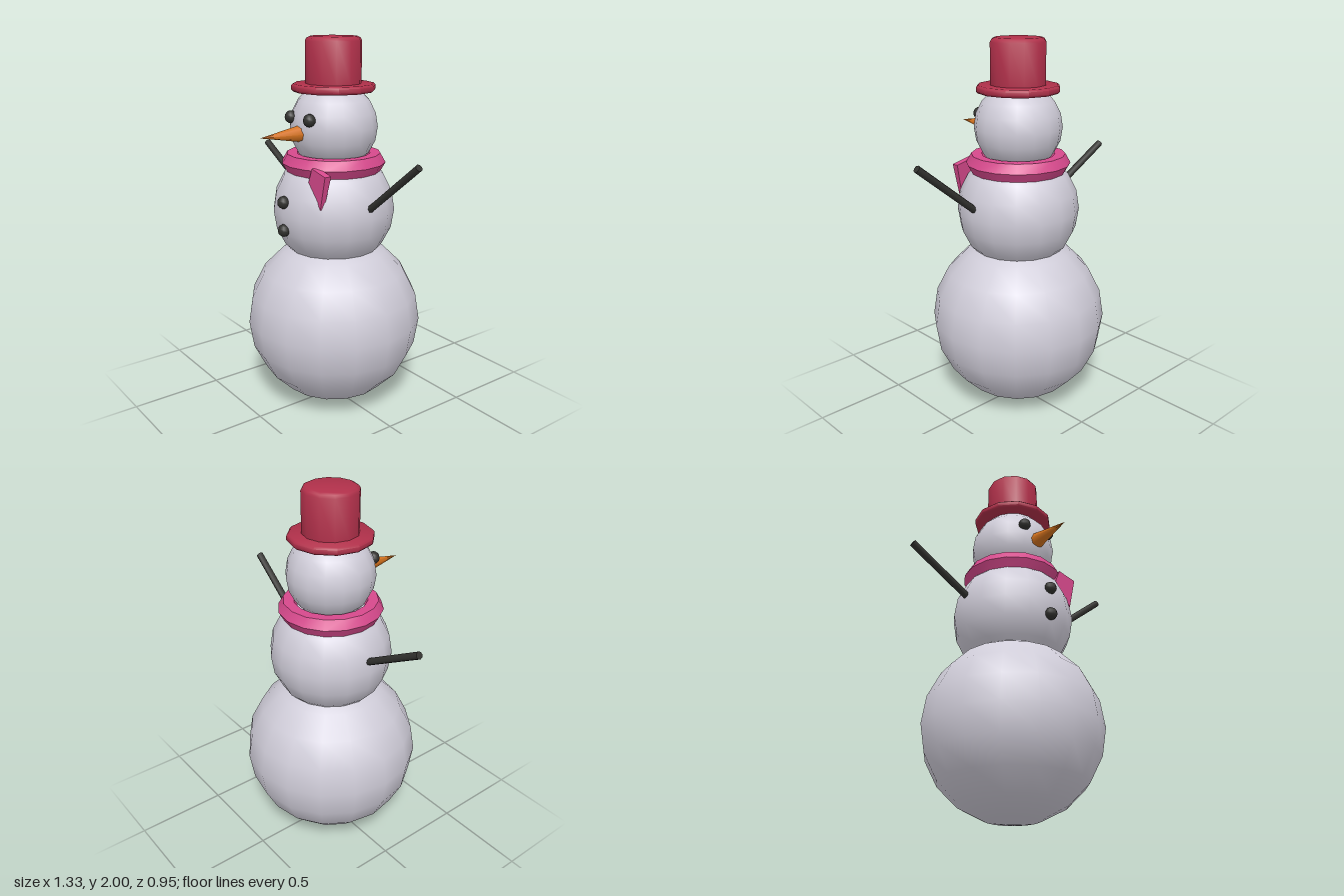
import * as THREE from 'three';
import { toCreasedNormals } from 'three/addons/utils/BufferGeometryUtils.js';

const material = (name, color) => {
  const m = new THREE.MeshStandardMaterial({ color });
  m.name = name;
  return m;
};

export function createModel() {
  const model = new THREE.Group();
  model.name = 'snowman';

  const snow = material('snow', 0xd0cdd9);
  const red = material('hat red', 0xb0304a);
  const pink = material('scarf pink', 0xd6498c);
  const orange = material('carrot orange', 0xd6731e);
  const coal = material('coal', 0x32322f);

  const add = (name, geometry, mat, x = 0, y = 0, z = 0) => {
    const mesh = new THREE.Mesh(geometry, mat);
    mesh.name = name;
    mesh.position.set(x, y, z);
    model.add(mesh);
    return mesh;
  };
  const ball = (name, r, y) => add(name, new THREE.SphereGeometry(r, 16, 10), snow, 0, y);
  const lump = (name, x, y, z) => add(name, new THREE.SphereGeometry(0.033, 10, 8), coal, x, y, z);
  const lathe = (name, points) => add(name, toCreasedNormals(
    new THREE.LatheGeometry(points.map(([r, y]) => new THREE.Vector2(r, y)), 12), 0.82), red);

  // Stacked snowballs
  ball('lowerBody', 0.477, 0.48);
  ball('upperBody', 0.327, 1.105);
  ball('head', 0.232, 1.545);

  // Top hat with softened rims
  lathe('hatBrim', [[0, 1.725], [0.21, 1.725], [0.22, 1.735], [0.22, 1.755], [0.21, 1.765], [0, 1.765]]);
  lathe('hatCrown', [[0.146, 1.76], [0.146, 1.978], [0.138, 1.992], [0.122, 2], [0, 2]]);

  // Eyes and buttons
  for (const side of [-1, 1]) lump(side < 0 ? 'rightEye' : 'leftEye', side * 0.082, 1.6, 0.212);
  lump('upperButton', 0, 1.18, 0.321);
  lump('lowerButton', 0, 1.03, 0.321);

  // Carrot nose
  const nose = new THREE.ConeGeometry(0.046, 0.25, 8);
  nose.rotateX(Math.PI / 2);
  add('nose', nose, orange, 0, 1.525, 0.325);

  // Scarf ring with a six-sided section
  const ring = new THREE.TorusGeometry(0.221, 0.055, 6, 16);
  ring.rotateX(Math.PI / 2);
  add('scarf', toCreasedNormals(ring, 0.6), pink, 0, 1.358);

  // Scarf tail, thinner towards its tip
  const outline = [[0.14, 1.37], [0.11, 1.295], [0.21, 1.17], [0.25, 1.345]];
  const tail = new THREE.ExtrudeGeometry(
    new THREE.Shape(outline.map(([x, y]) => new THREE.Vector2(x, y))),
    { depth: 0.04, bevelEnabled: false });
  const p = tail.attributes.position;
  for (let i = 0; i < p.count; i++) {
    if (p.getZ(i) < 0.01) p.setZ(i, (1.37 - p.getY(i)) * 0.09);
  }
  tail.computeVertexNormals();
  add('scarfTail', tail, pink, 0, 0, 0.2);

  // Stick arms, starting inside the body
  const arm = (name, from, to) => {
    const a = new THREE.Vector3(...from);
    const b = new THREE.Vector3(...to);
    const dir = b.clone().sub(a);
    const stick = add(name, new THREE.CylinderGeometry(0.019, 0.019, dir.length(), 8), coal);
    stick.position.copy(a).add(b).multiplyScalar(0.5);
    stick.quaternion.setFromUnitVectors(new THREE.Vector3(0, 1, 0), dir.normalize());
  };
  arm('leftArm', [0.29, 1.143, 0], [0.655, 1.433, 0]);
  arm('rightArm', [-0.28, 1.15, 0], [-0.655, 1.362, 0]);

  return model;
}
